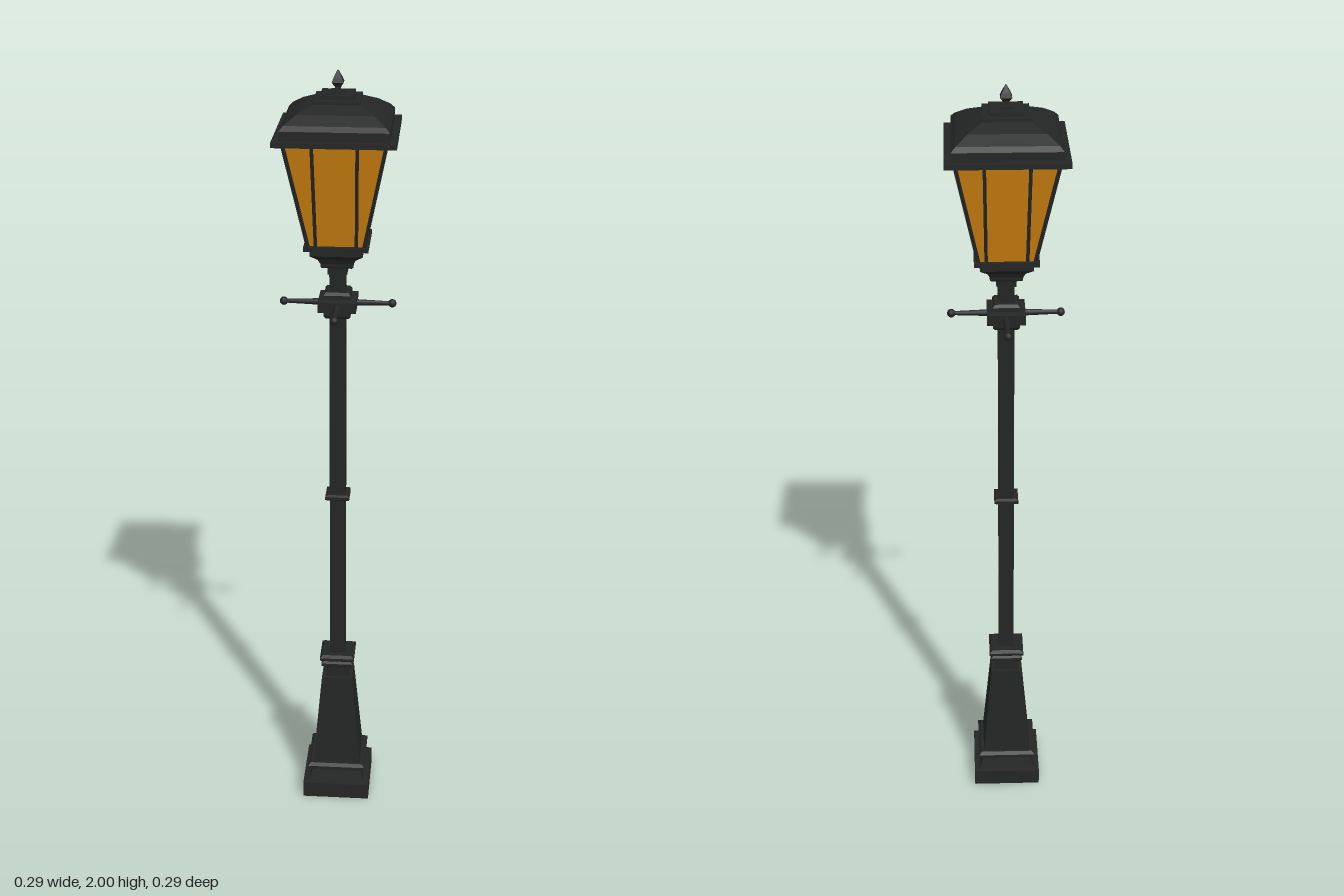
import * as THREE from 'three';

const iron = new THREE.MeshStandardMaterial({ color: 0x242625 });
iron.name = 'black iron';
const amber = new THREE.MeshStandardMaterial({ color: 0xce8210 });
amber.name = 'amber glass';

// Split shared corners so every facet has its own flat normal
function faceted(geometry) {
  const g = geometry.index ? geometry.toNonIndexed() : geometry;
  g.computeVertexNormals();
  return g;
}

function add(parent, name, geometry, material = iron) {
  const mesh = new THREE.Mesh(geometry, material);
  mesh.name = name;
  parent.add(mesh);
  return mesh;
}

// Square column from [half width, height] pairs, bottom to top, closed at both ends
function squareColumn(profile) {
  const pts = [[0, profile[0][1]], ...profile, [0, profile[profile.length - 1][1]]]
    .map(([half, y]) => new THREE.Vector2(half * Math.SQRT2, y));
  return faceted(new THREE.LatheGeometry(pts, 4).rotateY(Math.PI / 4));
}

// Straight bar between two points
function bar(a, b, width) {
  const dir = b.clone().sub(a);
  const mid = a.clone().add(b).multiplyScalar(0.5);
  const q = new THREE.Quaternion().setFromUnitVectors(new THREE.Vector3(0, 1, 0), dir.clone().normalize());
  return new THREE.BoxGeometry(width, dir.length(), width).applyQuaternion(q).translate(mid.x, mid.y, mid.z);
}

export function createModel() {
  const lamp = new THREE.Group();
  lamp.name = 'streetLamp';

  // Stepped pedestal
  add(lamp, 'plinth', squareColumn([[0.09, 0], [0.09, 0.045], [0.074, 0.047], [0.064, 0.083]]));
  add(lamp, 'pedestalRing', squareColumn([[0.07, 0.078], [0.078, 0.084], [0.078, 0.093], [0.07, 0.1]]));
  add(lamp, 'pedestal', squareColumn([[0.064, 0.098], [0.041, 0.36]]));
  add(lamp, 'pedestalNeck', squareColumn([[0.031, 0.36], [0.031, 0.415]]));
  add(lamp, 'lowerCollar', squareColumn([[0.036, 0.393], [0.042, 0.398], [0.042, 0.405], [0.036, 0.41]]));
  add(lamp, 'upperCollar', squareColumn([[0.04, 0.412], [0.046, 0.417], [0.046, 0.424], [0.038, 0.43]]));

  // Pole and its middle ring
  add(lamp, 'pole', squareColumn([[0.02, 0.42], [0.02, 1.54]]));
  add(lamp, 'poleRing', squareColumn([[0.025, 0.892], [0.031, 0.896], [0.031, 0.904], [0.025, 0.908]]));

  // Ladder rest: hub and four arms with knobs
  add(lamp, 'armHub', squareColumn([
    [0.028, 1.395], [0.033, 1.402], [0.033, 1.412], [0.047, 1.416],
    [0.047, 1.442], [0.033, 1.446], [0.033, 1.456], [0.028, 1.463]]));
  for (let i = 0; i < 4; i++) {
    const arm = new THREE.Group();
    arm.name = 'ladderArm' + (i + 1);
    add(arm, 'armRod', new THREE.CylinderGeometry(0.005, 0.009, 0.1, 8).rotateX(Math.PI / 2).translate(0, 1.429, 0.085));
    add(arm, 'armKnob', new THREE.SphereGeometry(0.0105, 10, 8).translate(0, 1.429, 0.134));
    arm.rotation.y = i * Math.PI / 2;
    lamp.add(arm);
  }

  // Lantern seat
  add(lamp, 'poleTopRing', squareColumn([[0.024, 1.508], [0.024, 1.526]]));
  add(lamp, 'lanternSeat', squareColumn([
    [0.036, 1.528], [0.04, 1.532], [0.04, 1.54], [0.046, 1.552], [0.064, 1.566], [0.064, 1.584]]));
  add(lamp, 'lanternTray', squareColumn([[0.078, 1.582], [0.078, 1.593]]));

  // Glass body with corner posts and two glazing bars on each side
  const yLow = 1.59, yHigh = 1.856, low = 0.067, high = 0.121;
  add(lamp, 'glass', squareColumn([[low, yLow], [high, yHigh]]), amber);
  for (let i = 0; i < 4; i++) {
    const side = new THREE.Group();
    side.name = 'lanternFrame' + (i + 1);
    add(side, 'cornerPost', bar(new THREE.Vector3(low, yLow, low), new THREE.Vector3(high, yHigh, high), 0.009));
    for (const s of [-1, 1]) {
      add(side, 'glazingBar', bar(
        new THREE.Vector3(s * 0.049, yLow, low), new THREE.Vector3(s * 0.053, yHigh, high), 0.008));
    }
    side.rotation.y = i * Math.PI / 2;
    lamp.add(side);
  }

  // Roof
  add(lamp, 'eaves', squareColumn([[0.145, 1.85], [0.145, 1.862]]));
  add(lamp, 'roof', squareColumn([
    [0.128, 1.86], [0.128, 1.884], [0.118, 1.895], [0.09, 1.914], [0.055, 1.93]]));
  add(lamp, 'roofCap', squareColumn([[0.055, 1.925], [0.055, 1.937], [0.04, 1.938], [0.04, 1.947]]));

  // Finial
  add(lamp, 'finial', squareColumn([
    [0.016, 1.945], [0.016, 1.953], [0.007, 1.955], [0.007, 1.962], [0.014, 1.972], [0.01, 1.982], [0.001, 2]]));

  return lamp;
}
